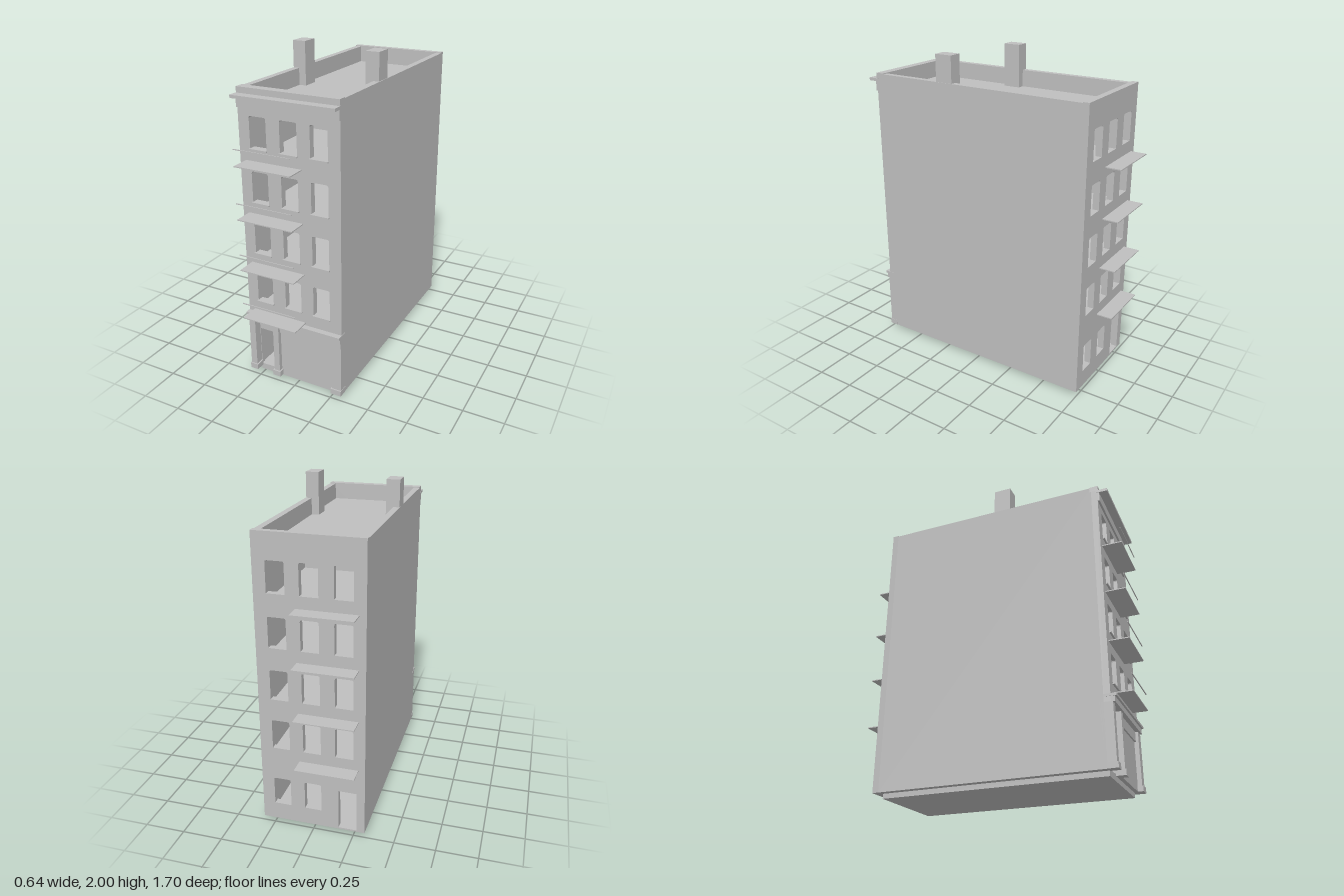
import * as THREE from 'three';

export function createModel() {
  const model = new THREE.Group();
  model.name = 'townhouse';
  const stone = new THREE.MeshStandardMaterial({ color: 0xbebebe });
  stone.name = 'grey stone';

  const add = (name, geometry) => {
    const mesh = new THREE.Mesh(geometry, stone);
    mesh.name = name;
    model.add(mesh);
    return mesh;
  };
  // Box given by its limits on each axis
  const box = (name, x0, x1, y0, y1, z0, z1) => {
    const g = new THREE.BoxGeometry(x1 - x0, y1 - y0, z1 - z0);
    g.translate((x0 + x1) / 2, (y0 + y1) / 2, (z0 + z1) / 2);
    return add(name, g);
  };
  // Opening with slightly rounded upper corners
  const opening = (x0, x1, y0, y1, r = 0.012) => {
    const p = new THREE.Path();
    p.moveTo(x0, y0);
    p.lineTo(x0, y1 - r);
    p.quadraticCurveTo(x0, y1, x0 + r, y1);
    p.lineTo(x1 - r, y1);
    p.quadraticCurveTo(x1, y1, x1, y1 - r);
    p.lineTo(x1, y0);
    p.closePath();
    return p;
  };
  // Wall pierced by openings
  const wall = (name, y0, y1, z0, z1, holes) => {
    const s = new THREE.Shape();
    s.moveTo(-0.32, y0);
    s.lineTo(0.32, y0);
    s.lineTo(0.32, y1);
    s.lineTo(-0.32, y1);
    s.closePath();
    s.holes.push(...holes);
    const g = new THREE.ExtrudeGeometry(s, { depth: z1 - z0, bevelEnabled: false, curveSegments: 3 });
    g.translate(0, 0, z0);
    add(name, g);
  };

  const columns = [-0.195, 0, 0.19];
  const storeys = [0.46, 0.78, 1.10, 1.42];
  const windows = () => storeys.flatMap((y, i) =>
    columns.map((x) => opening(x - 0.054, x + 0.054, 0.53 + i * 0.322, 0.716 + i * 0.322)));

  // Outer shell
  box('plinth', -0.28, 0.28, 0, 0.03, -0.70, 0.69);
  for (const s of [-1, 1]) {
    const [a, b] = s < 0 ? [-0.32, -0.28] : [0.28, 0.32];
    box('sideWall', a, b, 0.03, 1.835, -0.71, 0.69);
  }
  wall('frontWall', 0.40, 1.84, 0.69, 0.73, windows());
  wall('backWall', 0.03, 1.84, -0.75, -0.71, [
    ...windows(),
    opening(0.14, 0.245, 0.14, 0.32),
    opening(-0.052, 0.052, 0.14, 0.32),
    opening(-0.27, -0.158, 0.04, 0.30, 0.004),
  ]);

  // Interior floors, roof and dividing wall
  box('groundFloor', -0.28, 0.28, 0.03, 0.04, -0.71, 0.69);
  for (const y of storeys) box('floor', -0.28, 0.28, y - 0.02, y, -0.71, 0.69);
  box('roof', -0.28, 0.28, 1.71, 1.73, -0.71, 0.69);
  box('dividingWall', -0.28, 0.28, 0.04, 1.71, -0.01, 0.01);

  // Ground floor front: doorway, shop window, pilasters
  wall('shopWall', 0.03, 0.40, 0.665, 0.69, [opening(-0.275, -0.158, 0.04, 0.30, 0.004)]);
  box('shopPanel', -0.11, 0.26, 0.03, 0.335, 0.69, 0.715);
  box('shopTransom', -0.11, 0.26, 0.335, 0.40, 0.69, 0.725);
  for (const [a, b] of [[-0.32, -0.278], [-0.148, -0.11], [0.26, 0.32]]) {
    box('pilaster', a, b, 0.03, 0.40, 0.69, 0.742);
    box('pilasterBase', Math.max(a - 0.008, -0.322), Math.min(b + 0.008, 0.322), 0.03, 0.065, 0.69, 0.75);
  }
  box('shopFrieze', -0.32, 0.32, 0.397, 0.43, 0.69, 0.753);
  box('shopCornice', -0.322, 0.322, 0.43, 0.445, 0.69, 0.765);

  // Roof cornice
  box('topFrieze', -0.32, 0.32, 1.727, 1.787, 0.73, 0.742);
  box('topCornice', -0.322, 0.322, 1.787, 1.805, 0.72, 0.793);
  box('parapetCap', -0.32, 0.32, 1.805, 1.84, 0.68, 0.735);

  // Window sills, balconies and rails
  storeys.forEach((y, i) => {
    const sill = 0.53 + i * 0.322;
    for (const x of columns) box('windowSill', x - 0.058, x + 0.058, sill - 0.008, sill, 0.70, 0.741);
    box('frontBalcony', -0.28, 0.08, y - 0.003, y + 0.003, 0.73, 0.85);
    box('backBalcony', -0.28, 0.08, y - 0.003, y + 0.003, -0.85, -0.75);
    box('balconyRail', -0.28, 0.08, y + 0.097, y + 0.102, 0.845, 0.85);
  });

  // Chimneys
  box('leftChimney', 0.232, 0.316, 1.72, 2, 0.15, 0.263);
  box('rightChimney', -0.318, -0.234, 1.72, 2, 0.026, 0.138);

  return model;
}
